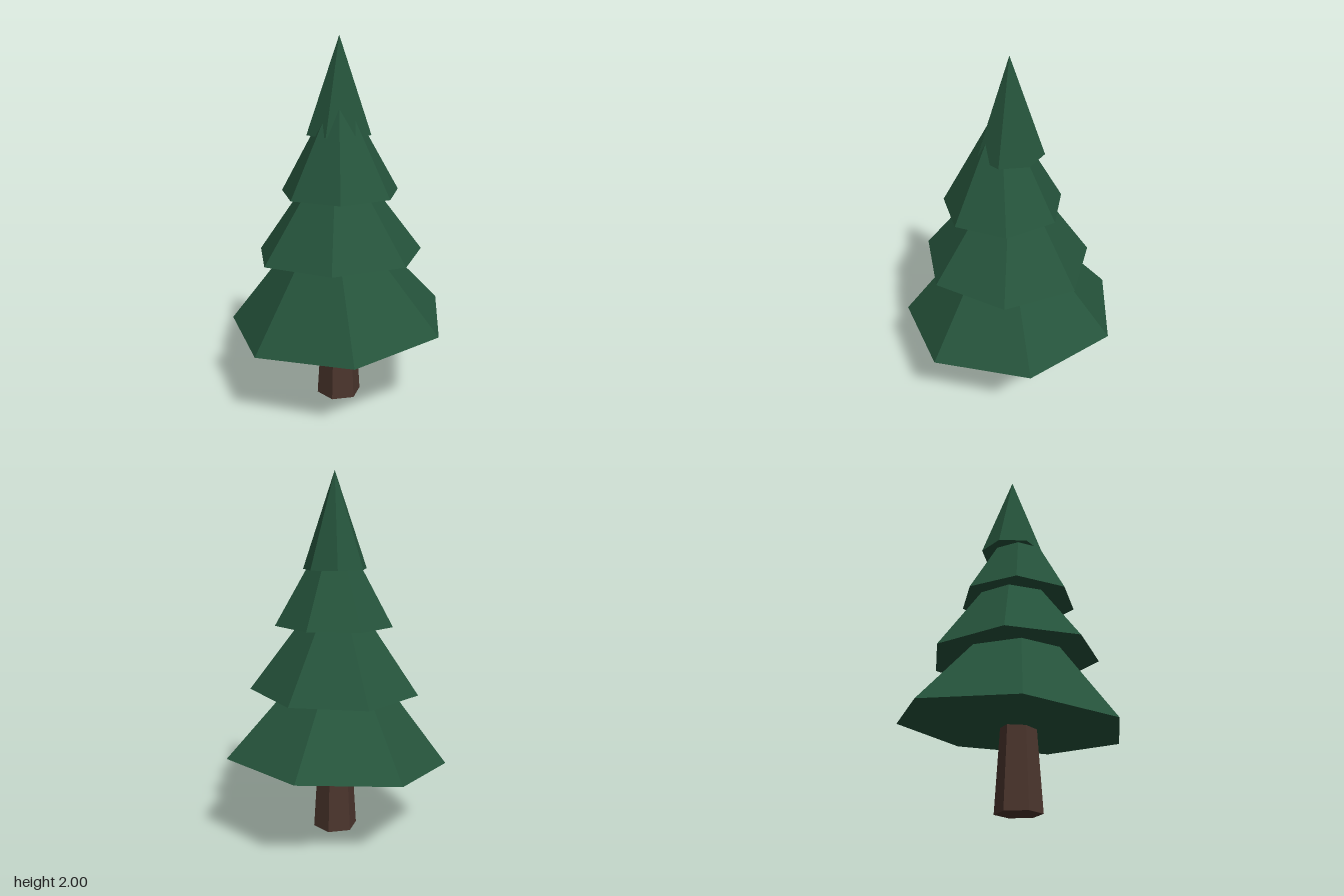
import * as THREE from 'three';

const UP = new THREE.Vector3(0, 1, 0);

export function createModel() {
  const tree = new THREE.Group();
  tree.name = 'pineTree';

  const needles = new THREE.MeshStandardMaterial({ color: 0x25533b, flatShading: true });
  needles.name = 'pine green';
  const bark = new THREE.MeshStandardMaterial({ color: 0x4b352d, flatShading: true });
  bark.name = 'bark brown';

  // Six-sided tapering trunk, its top hidden inside the lowest tier
  const trunk = new THREE.Mesh(new THREE.CylinderGeometry(0.093, 0.125, 0.5, 6), bark);
  trunk.name = 'trunk';
  trunk.position.set(-0.002, 0.25, 0.034);
  tree.add(trunk);

  // Seven-sided cone from a base centre to a tip; turn is the angle of one corner from +x towards +z
  const addTier = (name, radius, turn, base, tip) => {
    const foot = new THREE.Vector3(...base);
    const axis = new THREE.Vector3(...tip).sub(foot);
    const height = axis.length();
    const start = THREE.MathUtils.degToRad(90 - turn);
    const geometry = new THREE.ConeGeometry(radius, height, 7, 1, false, start);
    geometry.translate(0, height / 2, 0);
    const tier = new THREE.Mesh(geometry, needles);
    tier.name = name;
    tier.position.copy(foot);
    tier.quaternion.setFromUnitVectors(UP, axis.normalize());
    tree.add(tier);
  };

  // Branch tiers, each leaning a little its own way
  addTier('lowestBranches', 0.62, -80.2, [0.024, 0.441, 0.004], [-0.037, 1.17, 0.008]);
  addTier('lowerBranches', 0.47, -68.8, [0.011, 0.827, 0.019], [0.013, 1.465, -0.003]);
  addTier('upperBranches', 0.328, -73.5, [0.002, 1.176, 0.038], [-0.01, 1.76, 0.04]);
  addTier('topBranches', 0.178, 0, [0.02, 1.485, 0.005], [0.02, 2, 0.01]);

  return tree;
}
